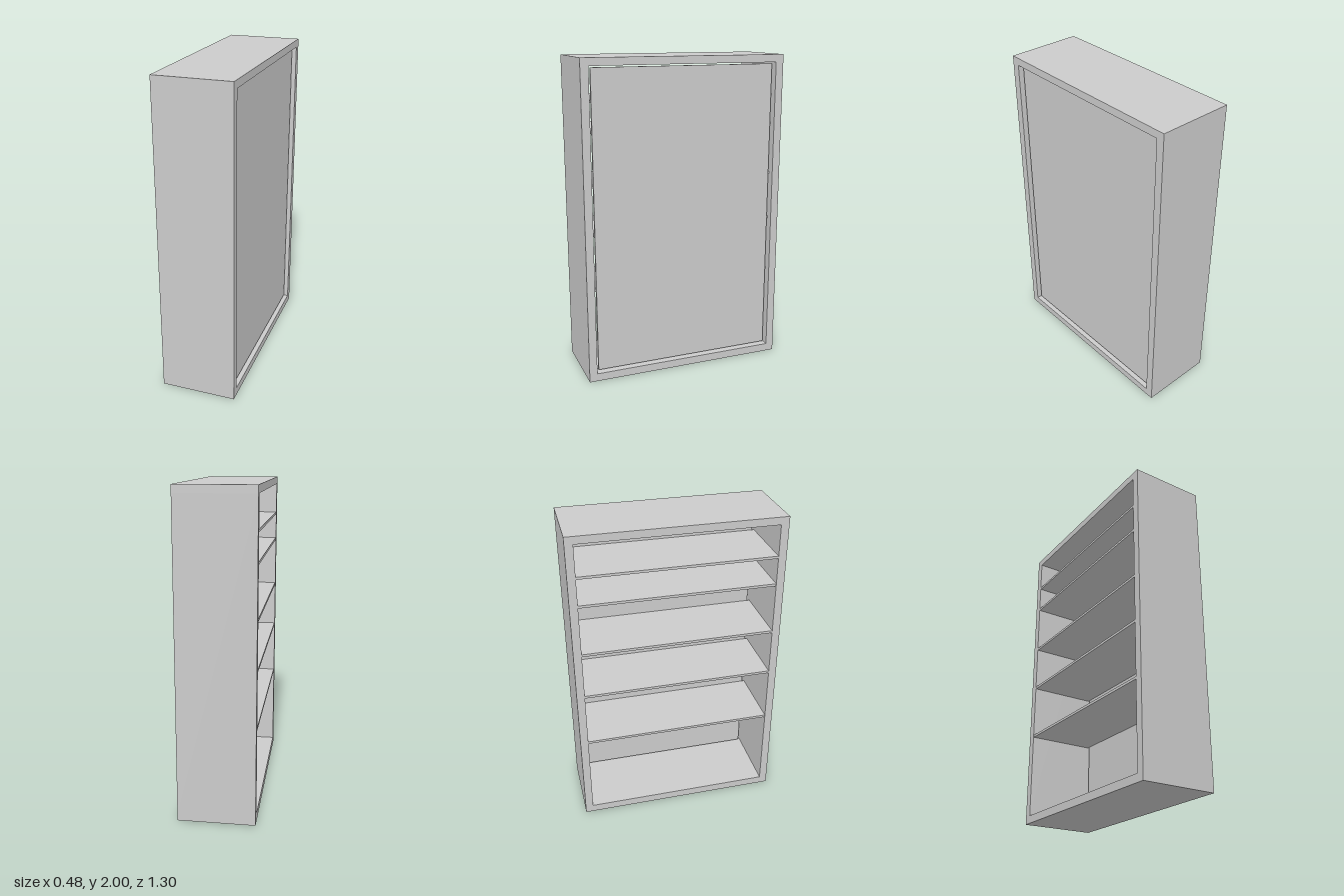
import * as THREE from 'three';

const HALF_X = 0.238, HALF_Z = 0.65, BOARD = 0.05;

export function createModel() {
  const group = new THREE.Group();
  group.name = 'bookcase';
  const material = new THREE.MeshStandardMaterial({ color: 0xcccccc, flatShading: true });

  // Axis-aligned board given by its lower and upper corners
  function board(name, min, max) {
    const size = max.map((v, i) => v - min[i]);
    const mesh = new THREE.Mesh(new THREE.BoxGeometry(...size), material);
    mesh.position.set(...max.map((v, i) => (v + min[i]) / 2));
    mesh.name = name;
    group.add(mesh);
  }

  // Carcass: base, top and two sides
  board('base', [-HALF_X, 0, -HALF_Z], [HALF_X, BOARD, HALF_Z]);
  board('top', [-HALF_X, 2 - BOARD + 0.003, -HALF_Z], [HALF_X, 2, HALF_Z]);
  const inner = HALF_Z - BOARD;
  board('frontSide', [-HALF_X, BOARD, inner], [HALF_X, 1.953, HALF_Z]);
  board('backSide', [-HALF_X, BOARD, -HALF_Z], [HALF_X, 1.953, -inner]);

  // Closing panel, set in from the +x edge with a narrow gap all round
  board('closingPanel', [0.195, 0.063, -0.584], [0.213, 1.943, 0.584]);

  // Shelves, flush with the open -x side
  [0.59, 0.945, 1.245, 1.57, 1.75].forEach((y) => {
    board('shelf', [-HALF_X + 0.002, y - 0.008, -inner], [0.195, y + 0.008, inner]);
  });

  return group;
}
